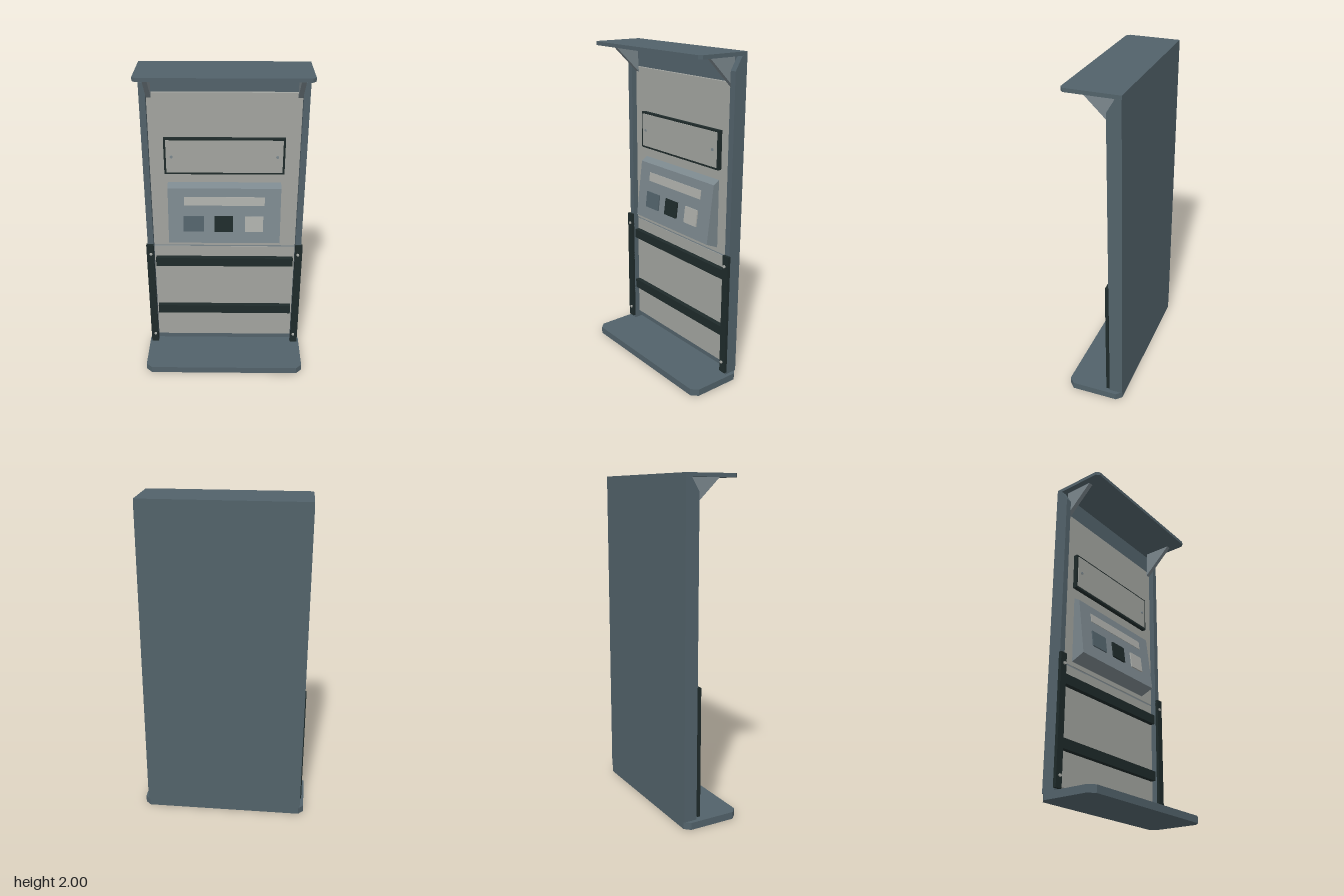
import * as THREE from 'three';

const material = (name, color) => {
  const m = new THREE.MeshStandardMaterial({ color });
  m.name = name;
  return m;
};

export function createModel() {
  const slate = material('slate blue', 0x52626a);
  const beige = material('warm grey', 0xa2a49f);
  const dark = material('dark green black', 0x1e2a2a);
  const grey = material('console grey', 0x7b878d);
  const pale = material('pale grey', 0xacaea9);

  const model = new THREE.Group();
  model.name = 'serviceTerminal';

  const add = (name, geometry, mat, parent = model) => {
    const mesh = new THREE.Mesh(geometry, mat);
    mesh.name = name;
    parent.add(mesh);
    return mesh;
  };
  // Box given by its extents on each axis
  const box = (name, mat, [x0, x1], [y0, y1], [z0, z1], parent) => {
    const mesh = add(name, new THREE.BoxGeometry(x1 - x0, y1 - y0, z1 - z0), mat, parent);
    mesh.position.set((x0 + x1) / 2, (y0 + y1) / 2, (z0 + z1) / 2);
    return mesh;
  };
  const extrude = (points, depth) => new THREE.ExtrudeGeometry(
    new THREE.Shape(points.map(([a, b]) => new THREE.Vector2(a, b))),
    { depth, bevelEnabled: false });
  // Profile given as [z, y], extruded along x from x0 to x1
  const sideProfile = (name, mat, points, x0, x1) => {
    const g = extrude(points.map(([z, y]) => [-z, y]), x1 - x0);
    g.rotateY(Math.PI / 2);
    g.translate(x0, 0, 0);
    return add(name, g, mat);
  };
  // Outline given as [x, z], extruded upward from y0 to y1
  const slab = (name, mat, points, y0, y1) => {
    const g = extrude(points.map(([x, z]) => [x, -z]), y1 - y0);
    g.rotateX(-Math.PI / 2);
    g.translate(0, y0, 0);
    return add(name, g, mat);
  };
  const disc = (name, mat, r, depth, x, y, z) => {
    const mesh = add(name, new THREE.CylinderGeometry(r, r, depth, 12).rotateX(Math.PI / 2), mat);
    mesh.position.set(x, y, z);
  };

  // Base and roof with clipped corners
  slab('base', slate, [[-0.48, 0.178], [0.48, 0.178], [0.517, 0.142], [0.517, -0.145],
    [0.485, -0.178], [-0.485, -0.178], [-0.517, -0.145], [-0.517, 0.142]], 0, 0.043);
  slab('roof', slate, [[-0.473, 0.154], [0.473, 0.154], [0.493, 0.135], [0.493, -0.178],
    [-0.493, -0.178], [-0.493, 0.135]], 1.978, 2);

  // Cabinet shell and recessed front panels
  box('backPanel', slate, [-0.456, 0.456], [0.043, 1.978], [-0.178, -0.15]);
  box('lowerPanel', beige, [-0.456, 0.456], [0.09, 0.8], [-0.15, -0.13]);
  box('panelSeam', grey, [-0.456, 0.456], [0.8, 0.81], [-0.15, -0.133]);
  box('upperPanel', beige, [-0.456, 0.456], [0.81, 1.83], [-0.15, -0.13]);

  for (const s of [-1, 1]) {
    const span = (a, b) => (s > 0 ? [a, b] : [-b, -a]);

    // Side pillars with a clipped top front corner
    sideProfile('pillar', slate, [[-0.178, 0.043], [-0.178, 1.978], [-0.142, 1.978],
      [-0.095, 1.9], [-0.095, 0.043]], ...span(0.456, 0.494));

    // Roof gussets
    sideProfile('roofGusset', grey, [[-0.13, 1.8], [-0.122, 1.978], [0.055, 1.978]],
      ...span(0.428, 0.456));

    // Guard posts with bolts
    box('guardPost', dark, span(0.456, 0.502), [0.062, 0.835], [-0.096, -0.077]);
    for (const y of [0.13, 0.77]) disc('postBolt', pale, 0.009, 0.01, s * 0.474, y, -0.075);

    // Display screws
    disc('displayScrew', grey, 0.009, 0.006, s * 0.32, 1.44, -0.1);
  }

  // Cross bars
  for (const y of [0.29, 0.666])
    box('crossBar', dark, [-0.446, 0.446], [y, y + 0.06], [-0.13, -0.098]);

  // Display with its dark surround
  box('displayFrame', dark, [-0.366, 0.366], [1.324, 1.556], [-0.13, -0.105]);
  box('displayFace', beige, [-0.353, 0.353], [1.337, 1.545], [-0.106, -0.101]);

  // Sloping console
  sideProfile('console', grey, [[-0.13, 0.838], [-0.13, 1.26], [-0.09, 1.235], [-0.045, 0.875]],
    -0.35, 0.35);

  // Console fittings laid on the sloping face
  const face = new THREE.Group();
  face.name = 'consoleFittings';
  face.position.set(0, 0.875, -0.045);
  face.rotation.x = -Math.atan2(0.045, 0.36);
  model.add(face);
  box('consoleSlot', pale, [-0.25, 0.25], [0.252, 0.308], [-0.002, 0.003], face);
  box('leftKey', slate, [-0.255, -0.127], [0.08, 0.182], [-0.002, 0.008], face);
  box('middleKey', dark, [-0.06, 0.055], [0.08, 0.182], [-0.002, 0.01], face);
  box('rightKey', pale, [0.13, 0.243], [0.08, 0.182], [-0.002, 0.008], face);

  return model;
}
